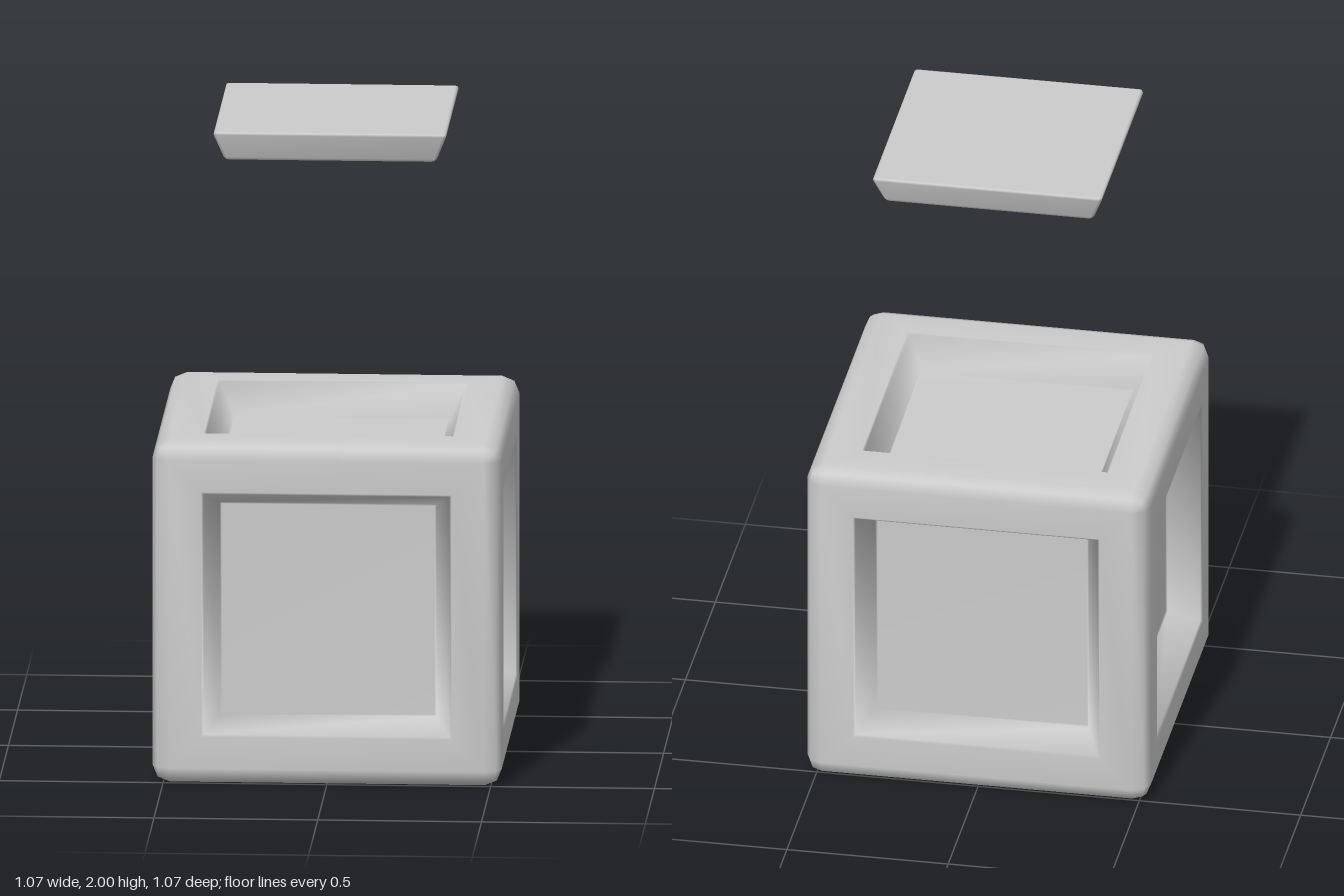
import * as THREE from 'three';
import { mergeGeometries, mergeVertices } from 'three/addons/utils/BufferGeometryUtils.js';

const HALF = 0.533;           // half size of the cube
const RADIUS = 0.052;         // rounding of its edges
const INNER = HALF - RADIUS;

// Skin over stacked square loops; profile entries are [halfWidth, height].
// inset(h): where the corner of a loop begins; place(p, h): final adjustment.
function squareLoft(profile, inset, place) {
  const positions = [], index = [];
  for (const [h, y] of profile) {
    const c = inset(h);
    for (let side = 0; side < 4; side++) {
      for (let [x, z] of [[h, -c], [h, c], [h, h]]) {
        for (let k = 0; k < side; k++) [x, z] = [-z, x];
        const p = new THREE.Vector3(x, y, z);
        place(p, h);
        positions.push(p.x, p.y, p.z);
      }
    }
  }
  const n = 12;
  for (let j = 0; j < profile.length - 1; j++) {
    for (let i = 0; i < n; i++) {
      const a = j * n + i, b = j * n + (i + 1) % n;
      index.push(a, b, b + n, a, b + n, a + n);
    }
  }
  const geometry = new THREE.BufferGeometry();
  geometry.setAttribute('position', new THREE.Float32BufferAttribute(positions, 3));
  geometry.setIndex(index);
  return geometry;
}

function smooth(geometry) {
  const merged = mergeVertices(geometry, 1e-4);
  merged.computeVertexNormals();
  return merged;
}

// One cube face: recess floor, sloped walls, rim, then half of the rounded edge
function cubeFace() {
  const profile = [
    [0, HALF - 0.105], [0.325, HALF - 0.105], [0.331, HALF - 0.1],
    [0.375, HALF - 0.006], [0.382, HALF], [INNER, HALF], [HALF, HALF],
  ];
  const lo = new THREE.Vector3(-INNER, -INNER, -INNER);
  const hi = new THREE.Vector3(INNER, INNER, INNER);
  return squareLoft(profile, (h) => Math.min(h, INNER), (p, h) => {
    if (h < INNER) return;
    const core = p.clone().clamp(lo, hi);
    p.sub(core).setLength(RADIUS).add(core);
  });
}

function cubeGeometry() {
  const faces = [];
  for (let k = 0; k < 4; k++) faces.push(cubeFace().rotateX(k * Math.PI / 2));
  for (const s of [-1, 1]) faces.push(cubeFace().rotateZ(s * Math.PI / 2));
  return smooth(mergeGeometries(faces)).translate(0, HALF, 0);
}

// Tapered plate with softened edges and corners
function plateGeometry() {
  const profile = [
    [0, 2], [0.346, 2], [0.353, 1.998], [0.355, 1.991],
    [0.326, 1.917], [0.319, 1.908], [0.306, 1.905], [0, 1.905],
  ];
  return smooth(squareLoft(profile, (h) => Math.max(h - 0.01, 0), (p, h) => {
    // pull the outer corner in to round it
    if (h > 0 && Math.abs(p.x) === h && Math.abs(p.z) === h) {
      p.x -= Math.sign(p.x) * 0.003;
      p.z -= Math.sign(p.z) * 0.003;
    }
  }));
}

export function createModel() {
  const group = new THREE.Group();
  const material = new THREE.MeshStandardMaterial({ color: 0xcccccc });
  const add = (name, geometry) => {
    const mesh = new THREE.Mesh(geometry, material);
    mesh.name = name;
    group.add(mesh);
  };
  add('recessedCube', cubeGeometry());
  add('floatingPlate', plateGeometry());
  return group;
}
